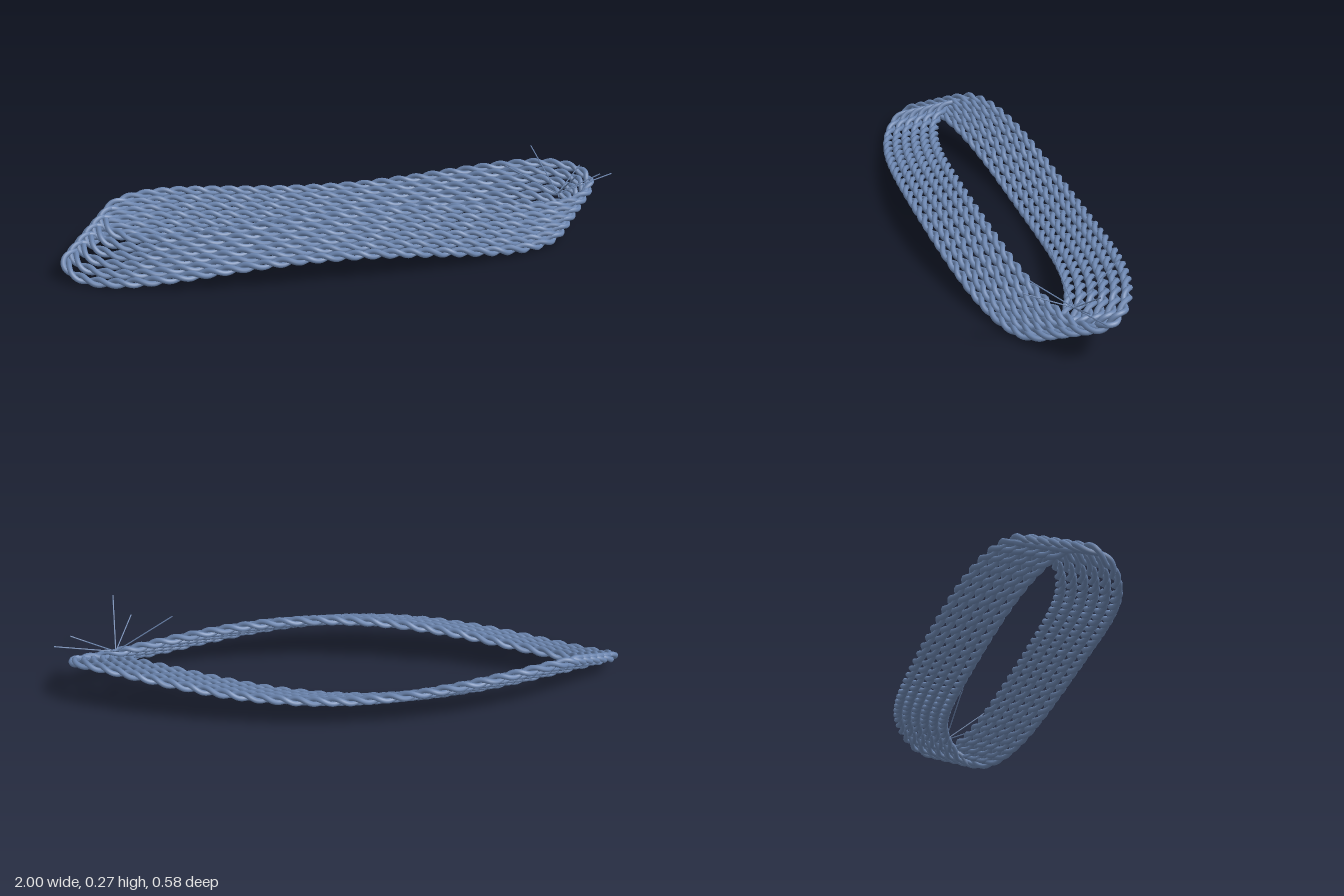
import * as THREE from 'three';

const ROPES = 6;            // parallel copies of one looped rope
const TURNS = 30;           // twists around the loop
const STRAND = 0.0095;      // strand radius
const FIRST = new THREE.Vector3(-0.1, 0.055, 0.0715);
const LAST = new THREE.Vector3(0.043, 0.14, -0.0715);

// Centre line: flat ellipse with a three-fold wave in height
function loopCurve() {
  const pts = [];
  for (let i = 0; i < 72; i++) {
    const a = (i / 72) * Math.PI * 2;
    pts.push(new THREE.Vector3(0.881 * Math.cos(a), -0.036 * Math.sin(3 * a), 0.199 * Math.sin(a)));
  }
  const curve = new THREE.CatmullRomCurve3(pts, true);
  curve.arcLengthDivisions = 1500;
  return curve;
}

// One strand winding around the centre line
function strandGeometry(centre, phase) {
  const up = new THREE.Vector3(0, 1, 0);
  const pts = [];
  const steps = 600;
  for (let i = 0; i < steps; i++) {
    const t = i / steps;
    const tangent = centre.getTangentAt(t);
    const side = tangent.clone().cross(up).normalize();
    const lift = side.clone().cross(tangent);
    const a = phase - t * TURNS * Math.PI * 2;
    pts.push(centre.getPointAt(t)
      .addScaledVector(side, STRAND * Math.cos(a))
      .addScaledVector(lift, STRAND * Math.sin(a)));
  }
  const path = new THREE.CatmullRomCurve3(pts, true);
  path.arcLengthDivisions = 2400;
  return new THREE.TubeGeometry(path, 640, STRAND, 8, true);
}

export function createModel() {
  const model = new THREE.Group();
  model.name = 'ropeBand';
  const blue = new THREE.MeshStandardMaterial({ color: 0x6c86b0 });
  blue.name = 'ropeBlue';

  // Ropes, each of two twisted strands, stepped along a slanted line
  const centre = loopCurve();
  const strands = [0, Math.PI].map((phase) => strandGeometry(centre, phase));
  for (let i = 0; i < ROPES; i++) {
    const rope = new THREE.Group();
    rope.name = 'rope' + (i + 1);
    rope.position.lerpVectors(FIRST, LAST, i / (ROPES - 1));
    strands.forEach((geometry, s) => {
      const mesh = new THREE.Mesh(geometry, blue);
      mesh.name = 'strand' + (s + 1);
      rope.add(mesh);
    });
    model.add(rope);
  }

  // Loose fibres fanning out from the knot point
  const root = new THREE.Vector3(0.785, 0.132, 0);
  const tips = [
    [0.58, 0.266, 0.02], [0.8, 0.267, 0.157], [0.73, 0.252, -0.173], [0.88, 0.212, -0.055],
    [0.94, 0.196, 0.002], [0.74, 0.186, 0.155], [0.995, 0.177, -0.035],
  ];
  const fibres = new THREE.Group();
  fibres.name = 'looseFibres';
  for (const tip of tips) {
    const path = new THREE.LineCurve3(root, new THREE.Vector3(...tip));
    const fibre = new THREE.Mesh(new THREE.TubeGeometry(path, 1, 0.0022, 6), blue);
    fibre.name = 'fibre';
    fibres.add(fibre);
  }
  model.add(fibres);
  return model;
}
